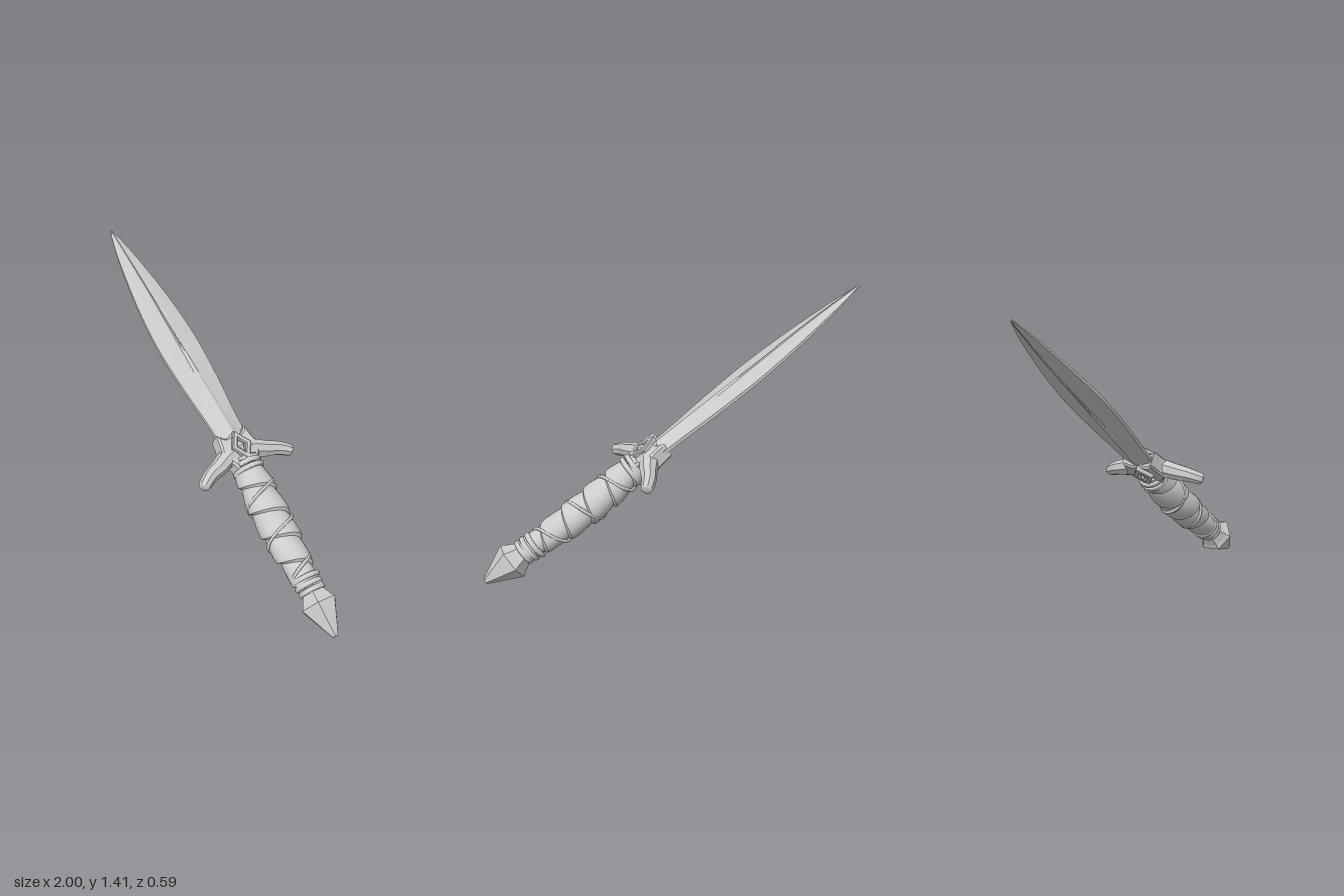
import * as THREE from 'three';
import { toCreasedNormals } from 'three/addons/utils/BufferGeometryUtils.js';

// Dagger built upright: y runs from pommel (0) to blade tip (2.43),
// z is the blade's width, x its thickness. The whole is tilted at the end.
const V = (x, y, z) => new THREE.Vector3(x, y, z);
const TILT = 0.9597;

function part(name, geo, crease = 0.5) {
  const mat = new THREE.MeshStandardMaterial({ color: 0xcccccc, side: THREE.DoubleSide });
  const mesh = new THREE.Mesh(toCreasedNormals(geo, crease), mat);
  mesh.name = name;
  return mesh;
}

// Skin a list of equal-length rings; closed rings wrap round and get end caps.
function loft(rings, closed = true) {
  const n = rings[0].length, pos = [], idx = [];
  rings.forEach(r => r.forEach(p => pos.push(p.x, p.y, p.z)));
  for (let i = 0; i < rings.length - 1; i++) {
    for (let j = 0; j < (closed ? n : n - 1); j++) {
      const a = i * n + j, b = i * n + (j + 1) % n;
      idx.push(a, a + n, b, b, a + n, b + n);
    }
  }
  if (closed) {
    const e = (rings.length - 1) * n;
    for (let j = 1; j < n - 1; j++) idx.push(0, j, j + 1, e, e + j + 1, e + j);
  }
  const g = new THREE.BufferGeometry();
  g.setAttribute('position', new THREE.Float32BufferAttribute(pos, 3));
  g.setIndex(idx);
  return g;
}

// Smooth value through [position, value] pairs
function curve(pairs) {
  const pts = pairs.map(([a, b]) => V(a, b, 0));
  const line = new THREE.CatmullRomCurve3(pts).getPoints(120);
  return s => {
    const k = line.findIndex(p => p.x >= s);
    if (k < 0) return line[120].y;
    if (k === 0) return line[0].y;
    const p = line[k - 1], q = line[k];
    return p.y + (q.y - p.y) * (s - p.x) / (q.x - p.x);
  };
}

// Leaf-shaped blade with a raised midrib that fades out
function blade() {
  const width = curve([[1.0, 0.08], [1.21, 0.086], [1.45, 0.107], [1.7, 0.117],
    [1.94, 0.1], [2.185, 0.063], [2.31, 0.038], [2.43, 0.005]]);
  const thick = curve([[1.0, 0.04], [1.3, 0.036], [1.7, 0.031], [2.1, 0.024], [2.43, 0.007]]);
  const rings = [];
  for (let i = 0; i <= 40; i++) {
    const s = 1.0 + 1.43 * i / 40, w = width(s), t = thick(s);
    const rib = Math.max(0.002, 0.024 * (1 - (s - 1.0) / 1.1));
    const quarter = [[t, 0], [t * 0.95, rib * 0.5], [t * 0.76, rib], [t * 0.48, w * 0.62], [t * 0.25, w]];
    const side = quarter.concat(quarter.slice(1).reverse().map(([x, z]) => [-x, z]));
    side.push([-t, 0]);
    const back = side.slice(1, -1).reverse().map(([x, z]) => [x, -z]);
    rings.push(side.concat(back).map(([x, z]) => V(x, s, z)));
  }
  const m = part('blade', loft(rings), 0.3);
  m.position.z = -0.01;
  return m;
}

// Crossguard arm sweeping outwards and back towards the handle
function guardArm(dir) {
  const path = new THREE.CatmullRomCurve3([[1.04, 0], [1.025, 0.08], [0.995, 0.15], [0.975, 0.21], [0.94, 0.268], [0.93, 0.282]]
    .map(([s, z]) => V(0.005, s, z * dir)));
  const rings = [], N = 18, U = V(1, 0, 0);
  for (let i = 0; i <= N; i++) {
    const t = i / N, c = path.getPoint(t);
    const v = U.clone().cross(path.getTangent(t)).normalize();
    const round = t > 0.9 ? Math.sqrt(Math.max(0.04, 1 - ((t - 0.9) / 0.1) ** 2)) : 1;
    const a = (0.058 - 0.032 * t) * round, b = (0.055 - 0.03 * t) * round;
    const ring = [];
    for (let j = 0; j < 8; j++) {
      const q = j / 8 * Math.PI * 2;
      ring.push(c.clone().addScaledVector(U, a * Math.cos(q)).addScaledVector(v, b * Math.sin(q)));
    }
    rings.push(ring);
  }
  return part('guardArm', loft(rings), 0.6);
}

// Extrude an outline drawn in (z, y) so that it is centred on x = 0
function plate(shape, depth, bevel) {
  const g = new THREE.ExtrudeGeometry(shape, { depth, bevelEnabled: true, bevelSize: bevel,
    bevelThickness: bevel, bevelSegments: 1, curveSegments: 8 });
  return g.translate(0, 0, -depth / 2).rotateY(-Math.PI / 2);
}

function guard() {
  const g = new THREE.Group();
  g.name = 'guard';
  g.add(guardArm(1), guardArm(-1));

  // Collar that flares round the root of the blade
  const s = new THREE.Shape();
  s.moveTo(-0.06, 0.95);
  s.lineTo(0.06, 0.95);
  s.quadraticCurveTo(0.07, 1.0, 0.115, 1.02);
  s.quadraticCurveTo(0.085, 1.06, 0.08, 1.13);
  s.quadraticCurveTo(0.05, 1.08, 0, 1.12);
  s.quadraticCurveTo(-0.05, 1.08, -0.08, 1.13);
  s.quadraticCurveTo(-0.085, 1.06, -0.115, 1.02);
  s.quadraticCurveTo(-0.07, 1.0, -0.06, 0.95);
  g.add(part('bladeCollar', plate(s, 0.07, 0.01)));

  // Diamond frame with a pyramid stone on each face
  const diamond = (P, a, b) => {
    const d = new P();
    d.moveTo(0, -b); d.lineTo(a, 0); d.lineTo(0, b); d.lineTo(-a, 0); d.closePath();
    return d;
  };
  const frame = diamond(THREE.Shape, 0.052, 0.078);
  frame.holes.push(diamond(THREE.Path, 0.033, 0.05));
  for (const side of [1, -1]) {
    const f = part('gemFrame', plate(frame, 0.025, 0.005));
    f.position.set(side * 0.052, 1.045, 0);
    const gem = part('gem', new THREE.ConeGeometry(1, 1, 4), 0.1);
    gem.scale.set(0.048, 0.045, 0.032);
    gem.rotation.z = -side * Math.PI / 2;
    gem.position.set(side * 0.062, 1.045, 0);
    g.add(f, gem);
  }
  return g;
}

// Grip with overlapping spiral wraps, binding cord, rings and faceted pommel
function handle() {
  const g = new THREE.Group();
  g.name = 'handle';
  const radius = curve([[0.24, 0.058], [0.36, 0.068], [0.5, 0.084], [0.68, 0.091], [0.84, 0.084], [0.99, 0.066]]);
  const bow = s => -0.018 * Math.sin(Math.PI * THREE.MathUtils.clamp((s - 0.25) / 0.75, 0, 1));
  const surface = (s, q, extra) => {
    const r = radius(s) + extra;
    return V(bow(s) + r * 0.9 * Math.cos(q), s, r * Math.sin(q));
  };
  const Y0 = 0.25, Y1 = 0.99, PITCH = 0.14, N = 32;

  // Row offsets within one turn give each wrap its overlapping lip
  const lip = [[0, -0.007], [0.08, 0.009], [0.3, 0.01], [0.6, 0.004], [0.95, -0.004]];
  const rows = [];
  for (let k = -1; k < 7; k++) {
    for (const [f, extra] of lip) {
      const row = [];
      for (let j = 0; j <= N; j++) {
        const s = THREE.MathUtils.clamp(Y0 + (k + f + j / N) * PITCH, Y0, Y1);
        row.push(surface(s, j / N * Math.PI * 2, extra));
      }
      rows.push(row);
    }
  }
  g.add(part('gripWrap', loft(rows, false), 0.6));

  // Cord wound the opposite way
  const cord = [];
  for (let i = 0; i <= 110; i++) {
    const s = 0.34 + 0.6 * i / 110;
    cord.push(surface(s, 1.2 - (s - 0.34) / (PITCH * 1.5) * Math.PI * 2, 0.004));
  }
  g.add(part('bindingCord', new THREE.TubeGeometry(new THREE.CatmullRomCurve3(cord), 220, 0.009, 6), 1.2));

  // Binding rings at both ends of the grip
  for (const [s, r] of [[0.25, 0.056], [0.282, 0.06], [0.316, 0.064], [0.93, 0.072], [0.96, 0.068]]) {
    const ring = part('bindingRing', new THREE.TorusGeometry(r, 0.014, 8, 28), 1.2);
    ring.rotation.x = Math.PI / 2;
    ring.position.set(bow(s), s, 0);
    g.add(ring);
  }

  // Six-sided pointed pommel
  const profile = [[0, 0], [0.014, 0.002], [0.03, 0.03], [0.1, 0.175], [0.085, 0.195], [0.058, 0.245], [0, 0.25]]
    .map(([r, y]) => new THREE.Vector2(r, y));
  g.add(part('pommel', new THREE.LatheGeometry(profile, 6), 0.1));

  // The handle leans slightly sideways from the guard
  const lean = new THREE.Group();
  lean.name = 'handleAssembly';
  g.position.y = -1;
  lean.add(g);
  lean.position.set(0, 1, -0.008);
  lean.rotation.x = -0.058;
  return lean;
}

export function createModel() {
  const dagger = new THREE.Group();
  dagger.name = 'dagger';
  dagger.add(blade(), guard(), handle());
  dagger.rotation.z = TILT;
  dagger.position.set(0.99, 0.01, 0);
  const model = new THREE.Group();
  model.name = 'model';
  model.add(dagger);
  return model;
}
